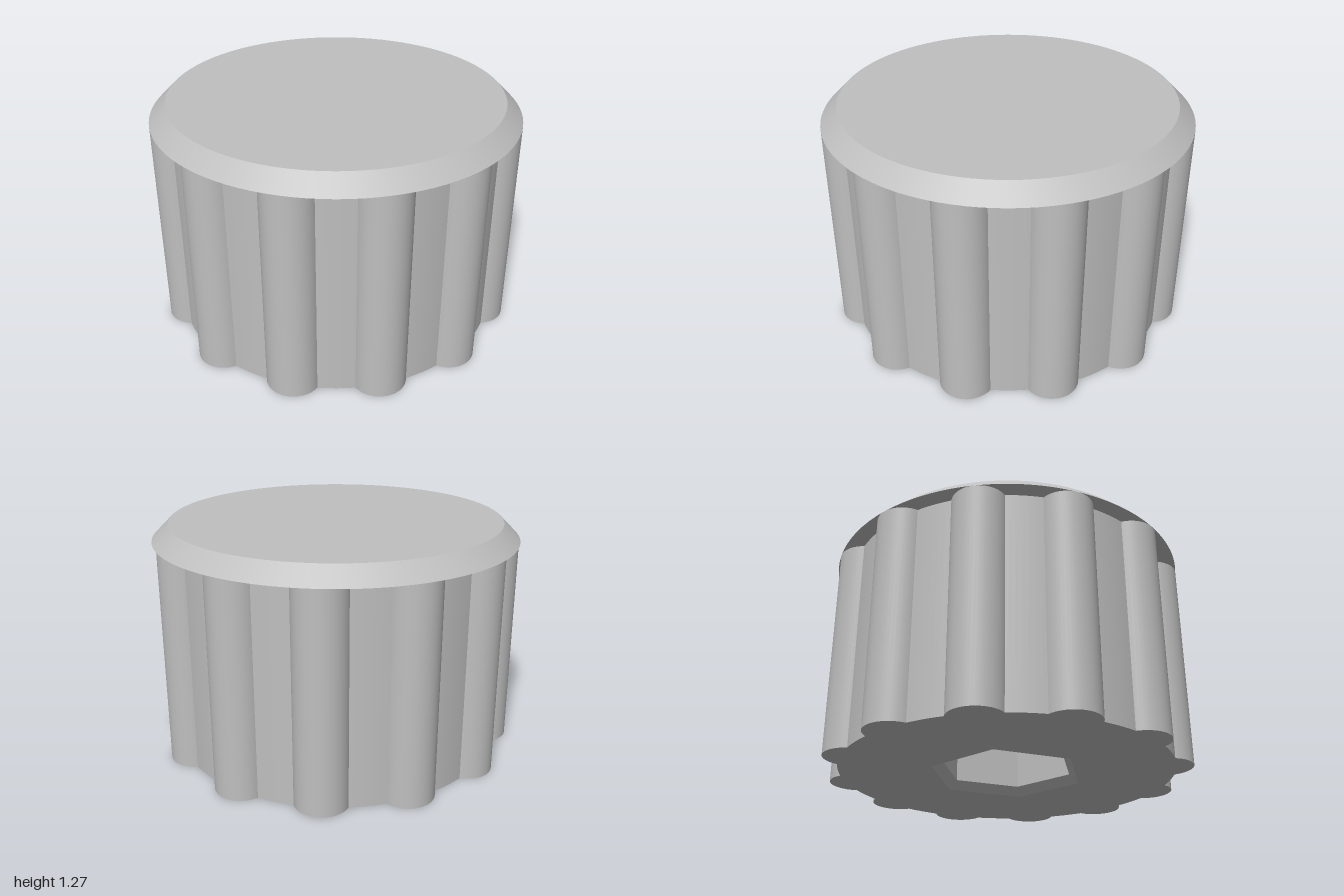
import * as THREE from 'three';
import { mergeGeometries } from 'three/addons/utils/BufferGeometryUtils.js';

const LOBES = 12, STEP = (Math.PI * 2) / LOBES;
const CORE_R = 0.909, LOBE_R = 0.1455, LOBE_C = 0.8545; // core radius, lobe radius, lobe centre distance
const BODY_H = 1.182, TOP = 1.273;
const HEX_R = 0.372, HEX_MOUTH_R = 0.425, HEX_CHAMFER = 0.0455, HEX_DEPTH = 0.3;
const BORE_R = 0.21, BORE_TOP = 0.91;
const LOBE_SEG = 18, CORE_SEG = 6;

// Half angles at which each lobe meets the core, about the lobe centre and about the axis
const lobeHalf = Math.acos((CORE_R ** 2 - LOBE_C ** 2 - LOBE_R ** 2) / (2 * LOBE_C * LOBE_R));
const coreHalf = Math.asin((LOBE_R * Math.sin(lobeHalf)) / CORE_R);

const polar = (r, a) => new THREE.Vector2(r * Math.sin(a), r * Math.cos(a));
const ring = (r, n, start = 0) =>
  Array.from({ length: n }, (_, i) => polar(r, start + (i * Math.PI * 2) / n));

// Revolved profile with a hard edge at every profile point
function turned(profile, segments, start = 0) {
  const bands = [];
  for (let i = 0; i < profile.length - 1; i++) {
    const pair = [profile[i], profile[i + 1]].map(([x, y]) => new THREE.Vector2(x, y));
    bands.push(new THREE.LatheGeometry(pair, segments, start));
  }
  return mergeGeometries(bands);
}

// Flat face looking down, with one hole
function downFace(outline, hole, y) {
  const shape = new THREE.Shape(outline);
  shape.holes.push(new THREE.Path(hole));
  return new THREE.ShapeGeometry(shape).rotateX(Math.PI / 2).translate(0, y, 0);
}

export function createModel() {
  const group = new THREE.Group();
  const grey = new THREE.MeshStandardMaterial({ color: 0xbfbfbf });
  grey.name = 'plain grey';
  const add = (name, geometry) => {
    const mesh = new THREE.Mesh(geometry, grey);
    mesh.name = name;
    group.add(mesh);
  };

  // Grip: round lobes with curved core panels between them
  const lobes = [], panels = [], outline = [];
  const panelArc = STEP - 2 * coreHalf;
  for (let i = 0; i < LOBES; i++) {
    const a = i * STEP, c = polar(LOBE_C, a);
    lobes.push(new THREE.CylinderGeometry(LOBE_R, LOBE_R, BODY_H, LOBE_SEG, 1, true, a - lobeHalf, 2 * lobeHalf)
      .translate(c.x, BODY_H / 2, c.y));
    panels.push(new THREE.CylinderGeometry(CORE_R, CORE_R, BODY_H, CORE_SEG, 1, true, a + coreHalf, panelArc)
      .translate(0, BODY_H / 2, 0));
    for (let k = 0; k <= LOBE_SEG; k++)
      outline.push(polar(LOBE_R, a - lobeHalf + (2 * lobeHalf * k) / LOBE_SEG).add(c));
    for (let k = 1; k < CORE_SEG; k++)
      outline.push(polar(CORE_R, a + coreHalf + (panelArc * k) / CORE_SEG));
  }
  add('gripLobes', mergeGeometries(lobes));
  add('gripPanels', mergeGeometries(panels));

  // Bevelled cap overhanging the grip
  add('cap', turned([[0.8, BODY_H], [1, BODY_H], [CORE_R, TOP], [0, TOP]], 96));

  // Underside with a chamfered hexagonal pocket, corners on the x axis
  const turn = Math.PI / 6;
  add('underside', downFace(outline, ring(HEX_MOUTH_R, 6, turn), 0));
  const pocket = turned([[HEX_R, HEX_DEPTH], [HEX_R, HEX_CHAMFER], [HEX_MOUTH_R, 0]], 6, turn).toNonIndexed();
  pocket.computeVertexNormals();
  add('hexPocket', pocket);
  add('pocketCeiling', downFace(ring(HEX_R, 6, turn), ring(BORE_R, 48), HEX_DEPTH));

  // Blind round bore above the pocket
  add('bore', turned([[0, BORE_TOP], [BORE_R, BORE_TOP], [BORE_R, HEX_DEPTH]], 48));

  return group;
}
